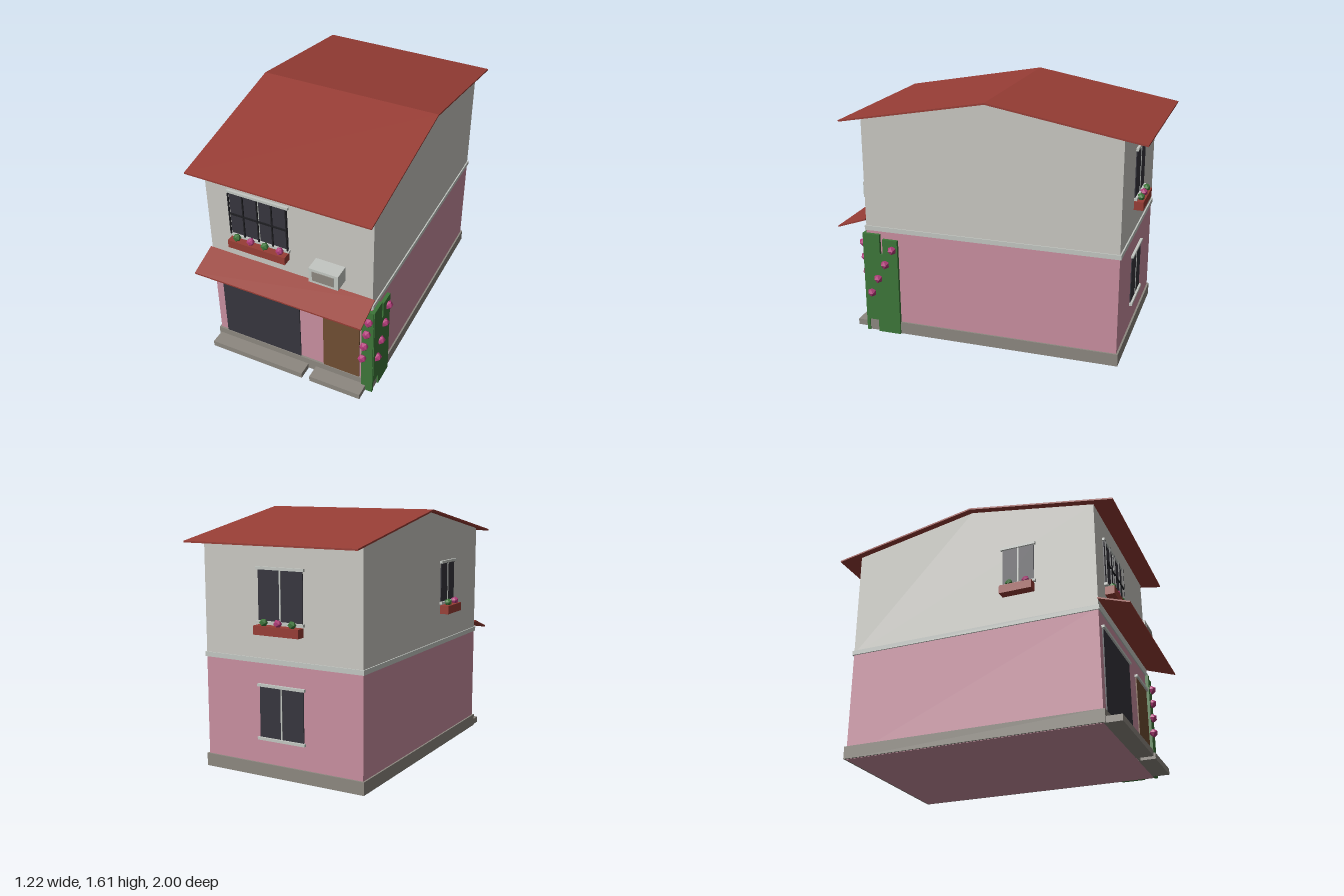
import * as THREE from 'three';

const mat = (name, color) => {
  const m = new THREE.MeshStandardMaterial({ color });
  m.name = name;
  return m;
};

export function createModel() {
  const house = new THREE.Group();
  house.name = 'house';

  const wall = mat('pale plaster', 0xc9c8c2);
  const pink = mat('pink plaster', 0xc98fa0);
  const red = mat('roof red', 0x973d35);
  const stone = mat('stone grey', 0x8d8880);
  const glass = mat('dark glass', 0x36353d);
  const black = mat('grille black', 0x1e1e22);
  const wood = mat('door brown', 0x704e33);
  const green = mat('leaf green', 0x3d7639);
  const magenta = mat('flower magenta', 0xb03a78);
  const trim = mat('trim grey', 0xc3c7c2);

  const add = (name, geo, material, parent = house) => {
    const m = new THREE.Mesh(geo, material);
    m.name = name;
    parent.add(m);
    return m;
  };
  // Box given by its limits on each axis
  const box = (name, material, [x0, x1], [y0, y1], [z0, z1], parent) => {
    const g = new THREE.BoxGeometry(x1 - x0, y1 - y0, z1 - z0);
    g.translate((x0 + x1) / 2, (y0 + y1) / 2, (z0 + z1) / 2);
    return add(name, g, material, parent);
  };
  const extrude = (points, depth) => new THREE.ExtrudeGeometry(
    new THREE.Shape(points.map(([a, b]) => new THREE.Vector2(a, b))), { depth, bevelEnabled: false });
  // Profile in (z, y), swept along x from x0 to x1
  const sweepX = (points, x0, x1) =>
    extrude(points, x1 - x0).rotateY(-Math.PI / 2).translate(x1, 0, 0);
  const blossom = (name, material, r, x, y, z, parent) =>
    add(name, new THREE.IcosahedronGeometry(r, 0), material, parent).position.set(x, y, z);

  const F = 0.805, B = -0.858, W = 0.555; // wall faces

  // Walls, plinth and string course
  box('lowerWalls', pink, [-W, W], [0, 0.725], [B, F]);
  add('upperWalls', sweepX([[B, 0.72], [F, 0.72], [F, 1.448], [-0.025, 1.598], [B, 1.448]], -W, W), wall);
  box('plinth', stone, [-0.566, 0.566], [0.002, 0.083], [-0.87, 0.818]);
  box('stringCourse', trim, [-0.563, 0.563], [0.71, 0.74], [-0.867, 0.813]);
  box('garageStep', stone, [-0.555, 0.113], [0, 0.04], [0.8, 0.915]);
  box('doorStep', stone, [0.168, 0.525], [0, 0.04], [0.8, 0.915]);

  // Roof and awning
  add('roof', sweepX([[0.94, 1.425], [0.94, 1.435], [-0.025, 1.61], [-1, 1.435], [-1, 1.425], [-0.025, 1.599]], -0.597, 0.597), red);
  add('awning', sweepX([[F, 0.777], [1, 0.71], [1, 0.72], [F, 0.787]], -0.568, 0.568), red);

  // Garage and front door
  box('garageDoor', glass, [-0.5, 0.057], [0.083, 0.61], [F, F + 0.008]);
  box('garageLintel', trim, [-0.513, 0.066], [0.61, 0.627], [F, F + 0.02]);
  box('frontDoor', wood, [0.223, 0.474], [0.083, 0.585], [F, F + 0.008]);
  box('doorLintel', trim, [0.21, 0.483], [0.585, 0.602], [F, F + 0.02]);

  // Windows in a local frame: x across, z out of the wall
  const makeWindow = (name, w, y0, y1, pos, turn, plants = []) => {
    const g = new THREE.Group();
    g.name = name;
    g.position.set(pos[0], 0, pos[1]);
    g.rotation.y = turn;
    house.add(g);
    const h = w / 2;
    box('pane', glass, [-h, h], [y0, y1], [0, 0.006], g);
    box('mullion', trim, [-0.005, 0.005], [y0, y1], [0, 0.009], g);
    box('lintel', trim, [-h - 0.012, h + 0.012], [y1, y1 + 0.017], [0, 0.016], g);
    box('sill', trim, [-h - 0.012, h + 0.012], [y0 - 0.017, y0], [0, 0.02], g);
    if (plants.length) {
      box('planter', red, [-h - 0.002, h + 0.002], [y0 - 0.08, y0 - 0.025], [0, 0.06], g);
      plants.forEach((x, i) => blossom(i % 2 ? 'flower' : 'shrub', i % 2 ? magenta : green,
        0.026, x, y0 - 0.007, 0.034, g));
    }
    return g;
  };
  const front = makeWindow('frontWindow', 0.39, 0.97, 1.275, [-0.195, F], 0, [-0.145, -0.05, 0.048, 0.15]);
  makeWindow('backUpperWindow', 0.312, 0.97, 1.275, [0, B], Math.PI, [-0.1, 0, 0.1]);
  makeWindow('backLowerWindow', 0.312, 0.25, 0.565, [0, B], Math.PI);
  makeWindow('sideWindow', 0.21, 0.997, 1.25, [-W, 0.3], -Math.PI / 2, [-0.05, 0.06]);

  // Grille over the front window
  for (const x of [-0.195, -0.0975, 0, 0.0975, 0.195]) {
    box('grilleBar', black, [x - 0.004, x + 0.004], [0.97, 1.275], [0.014, 0.022], front);
  }
  box('grilleRail', black, [-0.195, 0.195], [1.12, 1.13], [0.014, 0.022], front);

  // Air conditioner
  box('airConditioner', trim, [0.183, 0.376], [0.865, 0.97], [F, 0.905]);
  box('airGrille', stone, [0.207, 0.347], [0.885, 0.952], [0.9, 0.909]);

  // Creeper round the front corner
  add('frontCreeper', extrude([[0.495, 0], [0.572, 0], [0.572, 0.69], [0.53, 0.69], [0.53, 0.58],
    [0.523, 0.58], [0.523, 0.71], [0.495, 0.71]], 0.022).translate(0, 0, F), green);
  add('sideCreeper', sweepX([[0.585, 0], [0.74, 0], [0.74, 0.083], [0.82, 0.083], [0.82, 0.69], [0.708, 0.69],
    [0.708, 0.555], [0.688, 0.555], [0.688, 0.66], [0.585, 0.66]], W, 0.577), green);
  for (const [x, y] of [[0.545, 0.615], [0.533, 0.51], [0.517, 0.4], [0.505, 0.29]]) {
    blossom('frontFlower', magenta, 0.03, x, y, 0.835);
  }
  for (const [z, y] of [[0.62, 0.595], [0.672, 0.49], [0.725, 0.385], [0.775, 0.28]]) {
    blossom('sideFlower', magenta, 0.03, 0.582, y, z);
  }

  return house;
}
